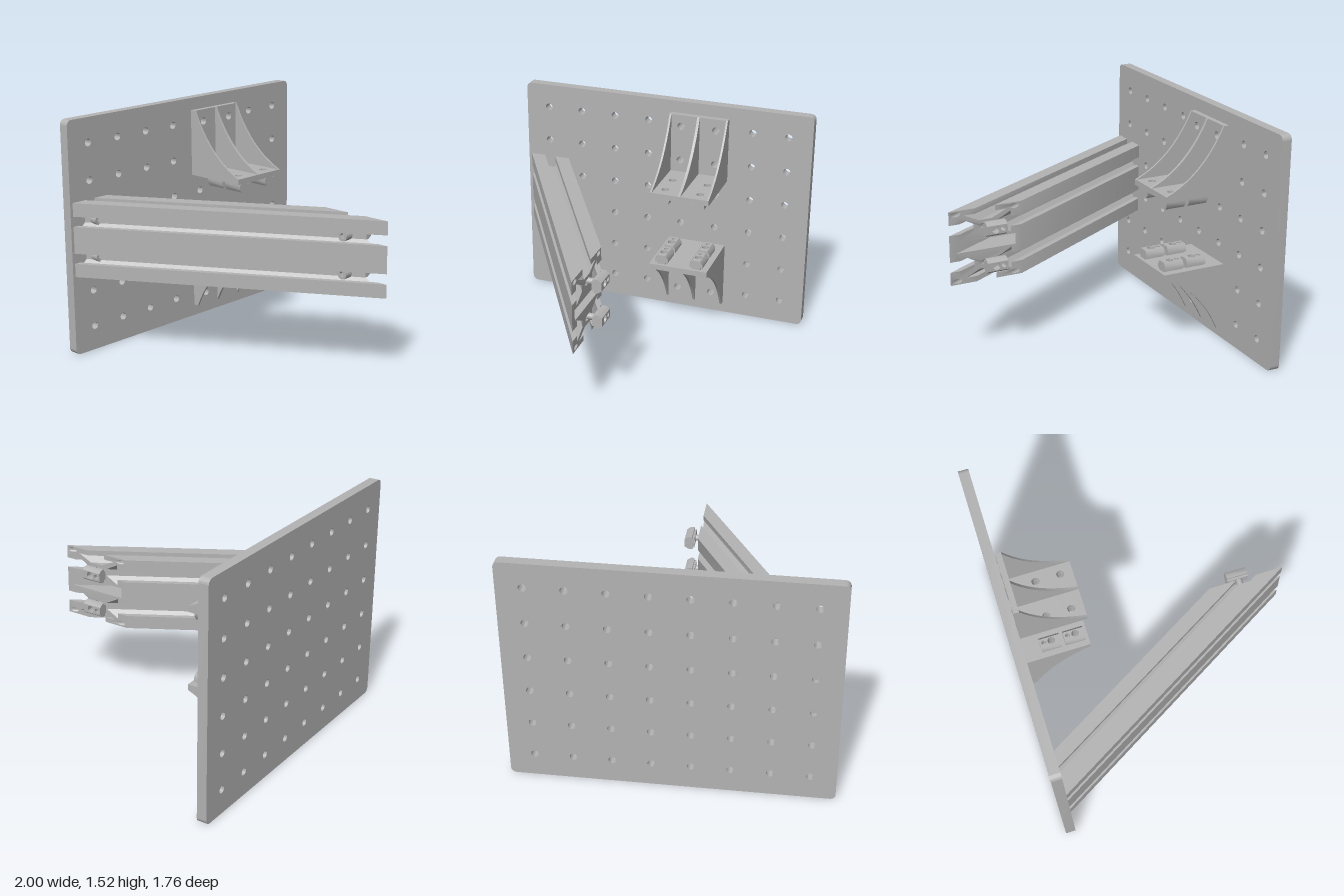
import * as THREE from 'three';
import { toCreasedNormals } from 'three/addons/utils/BufferGeometryUtils.js';

const metal = new THREE.MeshStandardMaterial({ color: 0xb3b3b3 });
metal.name = 'grey metal';

const PITCH = 0.24;

function add(parent, name, geometry) {
  const mesh = new THREE.Mesh(geometry, metal);
  mesh.name = name;
  parent.add(mesh);
  return mesh;
}

function circle(x, y, r) {
  return new THREE.Path().absarc(x, y, r, 0, Math.PI * 2, true);
}

function polygon(points, Type = THREE.Shape) {
  return new Type(points.map(([x, y]) => new THREE.Vector2(x, y)));
}

function rectangle(x0, y0, x1, y1, r = 0) {
  const s = new THREE.Shape();
  if (!r) return polygon([[x0, y0], [x1, y0], [x1, y1], [x0, y1]]);
  s.absarc(x1 - r, y0 + r, r, -Math.PI / 2, 0);
  s.absarc(x1 - r, y1 - r, r, 0, Math.PI / 2);
  s.absarc(x0 + r, y1 - r, r, Math.PI / 2, Math.PI);
  s.absarc(x0 + r, y0 + r, r, Math.PI, Math.PI * 1.5);
  return s;
}

function extrude(shape, depth, holes = [], steps = 1) {
  shape.holes.push(...holes);
  return new THREE.ExtrudeGeometry(shape, { depth, steps, bevelEnabled: false, curveSegments: 10 });
}

const creased = (g) => toCreasedNormals(g, 0.7);

// Rounded panel with a grid of 8 x 6 holes
function makePanel() {
  const holes = [];
  for (let i = 0; i < 8; i++)
    for (let j = 0; j < 6; j++) holes.push(circle(-0.84 + i * PITCH, 0.16 + j * PITCH, 0.024));
  return creased(extrude(rectangle(-1, 0, 1, 1.52, 0.035), 0.065, holes).translate(0, 0, -0.885));
}

// Double T-slot section, extruded and mitred: one end on the panel, one on the plane x = 0
function makeStrut() {
  const slot = [[-0.033, 0], [-0.033, 0.035], [-0.07, 0.035], [-0.022, 0.08],
    [0.022, 0.08], [0.07, 0.035], [0.033, 0.035], [0.033, 0]];
  const outline = [];
  const cut = (cx, cy, dx, dy) => {
    for (const [s, d] of slot) outline.push([cx + dx * s - dy * d, cy + dy * s + dx * d]);
  };
  cut(0, -0.24, 1, 0);
  outline.push([0.12, -0.24]);
  cut(0.12, -0.12, 0, 1);
  cut(0.12, 0.12, 0, 1);
  outline.push([0.12, 0.24]);
  cut(0, 0.24, -1, 0);
  outline.push([-0.12, 0.24]);
  cut(-0.12, 0.12, 0, -1);
  cut(-0.12, -0.12, 0, -1);
  outline.push([-0.12, -0.24]);

  // Middle chamber, core bores and corner bores
  const holes = [polygon([[-0.1, -0.035], [-0.1, 0.035], [0.1, 0.035], [0.1, -0.035]], THREE.Path)];
  for (const sv of [-1, 1]) {
    holes.push(circle(0, 0.12 * sv, 0.018));
    for (const su of [-1, 1]) holes.push(circle(0.097 * su, 0.217 * sv, 0.015));
  }
  const g = extrude(polygon(outline), 1, holes);
  const p = g.attributes.position;
  const c = 0.5, s = Math.sqrt(3) / 2;
  for (let i = 0; i < p.count; i++) {
    const u = p.getX(i), v = p.getY(i);
    const t = p.getZ(i) > 0.5 ? -u * s / c : (-1.46 + c * u) / s;
    p.setXYZ(i, u * s + t * c, 0.76 + v, 0.64 - u * c + t * s);
  }
  g.computeVertexNormals();
  return creased(g);
}

// T-nut with two holes, tapering along +z
function makeNut() {
  const nut = new THREE.Group();
  const holes = () => [circle(0, 0, 0.024), circle(0, -0.05, 0.016)];
  const body = extrude(rectangle(-0.045, -0.078, 0.045, 0.058), 0.05, holes(), 2);
  const p = body.attributes.position;
  for (let i = 0; i < p.count; i++)
    if (p.getZ(i) > 0.03 && Math.abs(p.getX(i)) > 0.04) p.setX(i, Math.sign(p.getX(i)) * 0.028);
  body.computeVertexNormals();
  add(nut, 'nutBody', creased(body));
  add(nut, 'nutNeck', creased(extrude(rectangle(-0.03, -0.078, 0.03, 0.058), 0.014, holes()).translate(0, 0, -0.014)));
  return nut;
}

// Socket-head screw with its head toward +z
function makeScrew(length) {
  const screw = new THREE.Group();
  const hex = [];
  for (let i = 0; i < 6; i++) {
    const a = -i * Math.PI / 3;
    hex.push([0.018 * Math.cos(a), 0.018 * Math.sin(a)]);
  }
  const disc = new THREE.Shape().absarc(0, 0, 0.034, 0, Math.PI * 2);
  add(screw, 'screwHead', creased(extrude(disc, 0.03, [polygon(hex, THREE.Path)]).translate(0, 0, 0.025)));
  add(screw, 'screwCollar', new THREE.CylinderGeometry(0.034, 0.034, 0.025, 24).rotateX(Math.PI / 2).translate(0, 0, 0.0125));
  add(screw, 'screwShaft', new THREE.CylinderGeometry(0.02, 0.02, length, 20).rotateX(Math.PI / 2).translate(0, 0, -length / 2));
  return screw;
}

// Corner bracket with three curved ribs and four T-nuts under its base
function makeBracket() {
  const bracket = new THREE.Group();
  const columns = [0.12, 0.36];
  const grid = (rows) => columns.flatMap((x) => rows.map((y) => circle(x, y, 0.025)));

  add(bracket, 'bracketBack', creased(
    extrude(rectangle(0.04, 1, 0.44, 1.44), 0.035, grid([1.12, 1.36])).translate(0, 0, -0.813)));
  add(bracket, 'bracketBase', creased(
    extrude(rectangle(0.04, 0.38, 0.44, 0.813), 0.037, grid([0.46, 0.62])).rotateX(-Math.PI / 2).translate(0, 1, 0)));

  for (const [x, w] of [[0.04, 0.013], [0.231, 0.018], [0.427, 0.013]]) {
    const rib = new THREE.Shape();
    rib.moveTo(0.38, 1.001);
    rib.lineTo(0.81, 1.001);
    rib.lineTo(0.81, 1.44);
    rib.lineTo(0.778, 1.44);
    rib.quadraticCurveTo(0.64, 1.14, 0.38, 1.037);
    add(bracket, 'bracketRib', creased(extrude(rib, w).rotateY(Math.PI / 2).translate(x, 0, 0)));
  }

  for (const x of columns) {
    // Locating pads against the panel
    for (const y of [1.12, 1.36])
      add(bracket, 'bracketPad', creased(
        extrude(rectangle(x - 0.033, y - 0.033, x + 0.033, y + 0.033), 0.007, [circle(x, y, 0.025)]).translate(0, 0, -0.82)));
    for (const z of [-0.46, -0.62]) {
      const nut = makeNut();
      nut.name = 'bracketNut';
      nut.rotation.x = Math.PI / 2;
      nut.position.set(x, 0.988, z);
      bracket.add(nut);
    }
  }
  return bracket;
}

export function createModel() {
  const model = new THREE.Group();
  model.name = 'panelWithStrut';
  add(model, 'perforatedPanel', makePanel());
  add(model, 'strut', makeStrut());

  const upper = makeBracket();
  upper.name = 'upperBracket';
  const lower = makeBracket();
  lower.name = 'lowerBracket';
  lower.rotation.z = Math.PI;
  lower.position.set(0.48, 1.52, 0);
  model.add(upper, lower);

  // Fasteners at both ends of the strut
  for (const y of [0.64, 0.88]) {
    const panelScrew = makeScrew(0.07);
    panelScrew.name = 'panelScrew';
    panelScrew.position.set(-0.84, y, -0.79);

    const endScrew = makeScrew(0.11);
    endScrew.name = 'endScrew';
    endScrew.rotation.y = -Math.PI / 2;
    endScrew.position.set(-0.045, y, 0.615);

    const endNut = makeNut();
    endNut.name = 'endNut';
    endNut.rotation.set(0, Math.PI / 2, Math.PI / 2);
    endNut.position.set(0.055, y, 0.615);
    model.add(panelScrew, endScrew, endNut);
  }
  return model;
}
